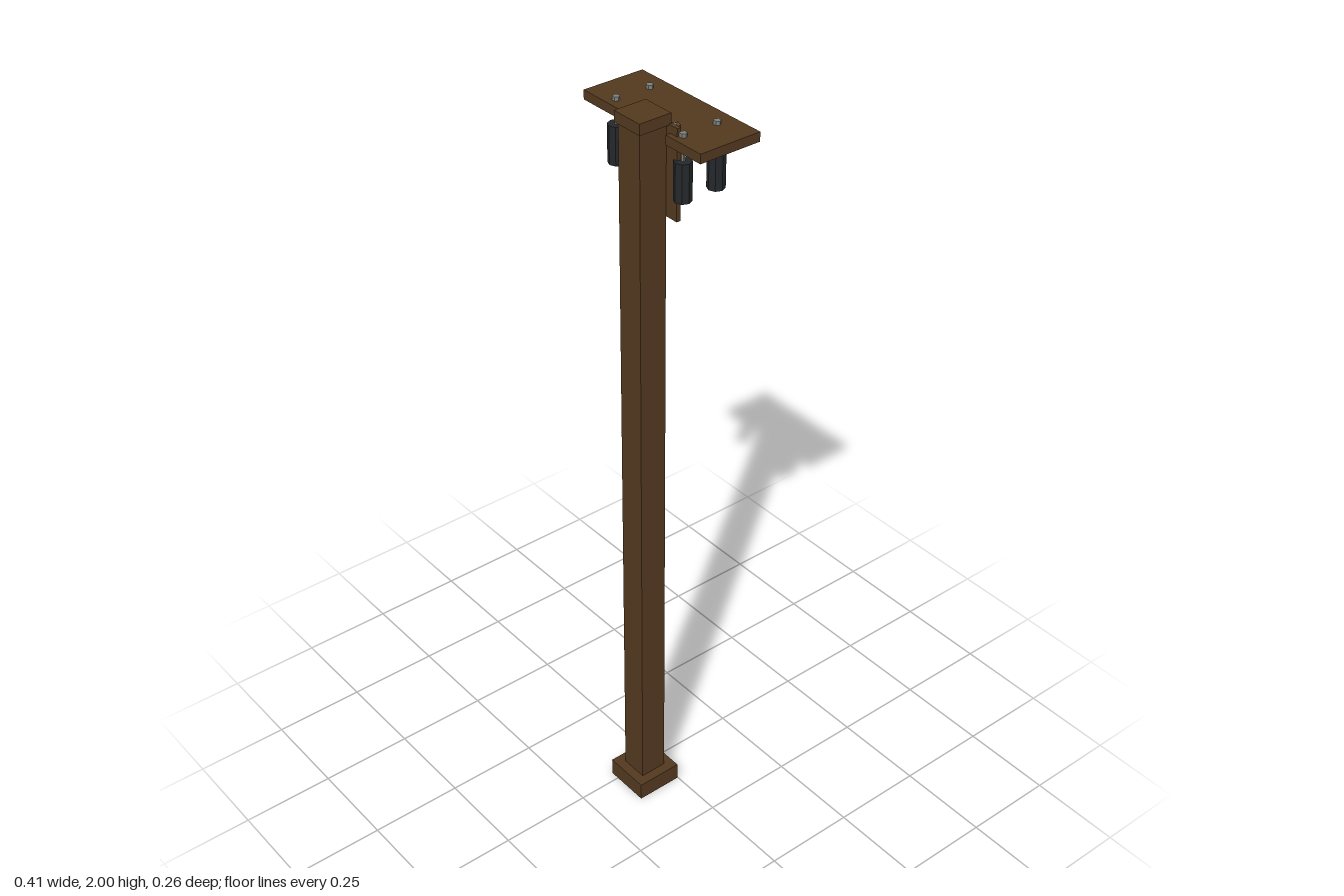
import * as THREE from 'three';

export function createModel() {
  const root = new THREE.Group();
  root.name = 'utilityPost';
  const mat = (name, color, flatShading = false) => {
    const m = new THREE.MeshStandardMaterial({ color, flatShading });
    m.name = name;
    return m;
  };
  const wood = mat('brown wood', 0x53391f);
  const black = mat('black ceramic', 0x25282b, true);
  const steel = mat('grey steel', 0x80827e, true);
  const rust = mat('aged bolt', 0x574330, true);

  const add = (name, geometry, material, x, y, z, parent = root) => {
    const mesh = new THREE.Mesh(geometry, material);
    mesh.name = name;
    mesh.position.set(x, y, z);
    parent.add(mesh);
    return mesh;
  };
  const box = (name, x0, x1, y0, y1, z0, z1) =>
    add(name, new THREE.BoxGeometry(x1 - x0, y1 - y0, z1 - z0), wood,
      (x0 + x1) / 2, (y0 + y1) / 2, (z0 + z1) / 2);

  // Square post with foot and cap
  box('foot', -0.025, 0.102, 0, 0.05, 0.002, 0.129);
  box('post', 0.001, 0.076, 0.05, 1.972, 0.028, 0.103);
  box('cap', -0.006, 0.083, 1.972, 2, 0.02, 0.109);

  // Mounting plate behind the post
  box('mountingPlate', -0.035, 0.112, 1.745, 1.975, 0.016, 0.027);

  // Shelf, notched around the post
  const outline = new THREE.Shape([
    [-0.206, 0.131], [-0.206, -0.04], [-0.011, -0.04], [-0.011, -0.02],
    [0.088, -0.02], [0.088, -0.04], [0.206, -0.04], [0.206, 0.131],
  ].map(([x, y]) => new THREE.Vector2(x, y)));
  const shelf = new THREE.ExtrudeGeometry(outline, { depth: 0.024, bevelEnabled: false });
  shelf.rotateX(-Math.PI / 2);
  add('shelf', shelf, wood, 0, 1.931, 0);

  // Hanging insulators on threaded rods
  for (const x of [-0.118, 0.118]) {
    for (const z of [-0.082, 0.015]) {
      const hanger = new THREE.Group();
      hanger.name = 'insulator';
      hanger.position.set(x, 0, z);
      root.add(hanger);
      add('body', new THREE.CylinderGeometry(0.022, 0.022, 0.098, 8), black, 0, 1.848, 0, hanger);
      add('rod', new THREE.CylinderGeometry(0.005, 0.005, 0.17, 6), steel, 0, 1.875, 0, hanger);
      const head = add('rodHead', new THREE.CylinderGeometry(0.009, 0.009, 0.01, 6), steel, 0, 1.96, 0, hanger);
      head.rotation.y = Math.PI / 6;
    }
  }

  // Bolts through the mounting plate
  for (const x of [-0.009, 0.085]) {
    for (const y of [1.768, 1.964]) {
      const washer = add('washer', new THREE.CylinderGeometry(0.0125, 0.0125, 0.004, 10), steel, x, y, 0.014);
      const nut = add('boltHead', new THREE.CylinderGeometry(0.0105, 0.0105, 0.01, 6), rust, x, y, 0.007);
      washer.rotation.x = nut.rotation.x = Math.PI / 2;
    }
  }
  return root;
}
